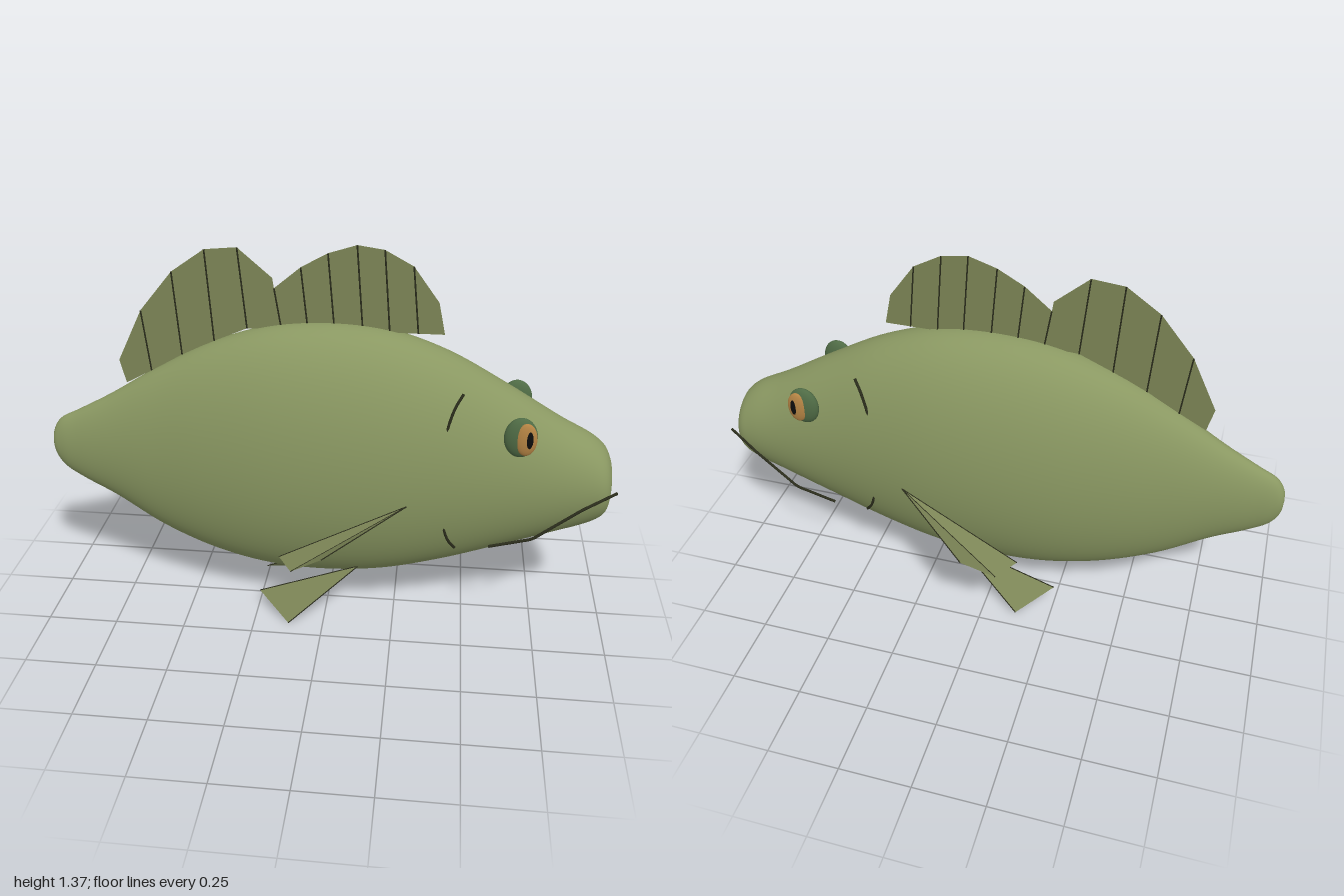
import * as THREE from 'three';

const mat = (color, side = THREE.FrontSide) => new THREE.MeshStandardMaterial({ color, side, roughness: 0.8 });
const bodyMat = mat(0x8a9862);
const finMat = mat(0x7c8556, THREE.DoubleSide);
const lineMat = mat(0x2b2d1c);
const V = (p) => new THREE.Vector3(...p);

function add(parent, name, geometry, material) {
  const mesh = new THREE.Mesh(geometry, material);
  mesh.name = name;
  parent.add(mesh);
  return mesh;
}

// Thin straight ray between two points
function ray(parent, name, a, b, r = 0.003) {
  return add(parent, name, new THREE.TubeGeometry(new THREE.LineCurve3(V(a), V(b)), 1, r, 5), lineMat);
}

// Body: oval cross-sections swept along x, each [x, top, bottom, half width]
function bodyGeometry() {
  const stations = [
    [-1, 0.61, 0.61, 0], [-0.994, 0.655, 0.56, 0.022], [-0.965, 0.7, 0.51, 0.036], [-0.9, 0.735, 0.465, 0.05],
    [-0.78, 0.8, 0.4, 0.075], [-0.6, 0.91, 0.285, 0.117], [-0.4, 1.015, 0.2, 0.165], [-0.2, 1.08, 0.155, 0.2],
    [0, 1.1, 0.146, 0.215], [0.2, 1.083, 0.165, 0.212], [0.4, 1.018, 0.215, 0.191], [0.6, 0.91, 0.283, 0.162],
    [0.8, 0.79, 0.357, 0.134], [0.91, 0.73, 0.4, 0.119], [0.955, 0.69, 0.428, 0.108], [0.975, 0.65, 0.455, 0.088],
    [0.983, 0.61, 0.51, 0.05], [0.985, 0.565, 0.565, 0],
  ];
  const heights = new THREE.CatmullRomCurve3(stations.map((s) => V([s[0], s[1], s[2]])));
  const widths = new THREE.CatmullRomCurve3(stations.map((s) => V([s[0], s[3], 0])));
  const rings = 102, sides = 64, pos = [], index = [];
  for (let i = 0; i <= rings; i++) {
    const h = heights.getPoint(i / rings), w = Math.max(0, widths.getPoint(i / rings).y);
    for (let j = 0; j < sides; j++) {
      const a = (j / sides) * Math.PI * 2;
      pos.push(h.x, (h.y + h.z) / 2 + ((h.y - h.z) / 2) * Math.cos(a), w * Math.sin(a));
      if (i === rings) continue;
      const k = (j + 1) % sides, p = i * sides, q = p + sides;
      if (i > 0) index.push(p + j, p + k, q + j);
      if (i < rings - 1) index.push(p + k, q + k, q + j);
    }
  }
  const g = new THREE.BufferGeometry();
  g.setAttribute('position', new THREE.Float32BufferAttribute(pos, 3));
  g.setIndex(index);
  g.computeVertexNormals();
  return g;
}

// Flat fin on the centre line, with rays given as [tip, base]
function dorsalFin(name, outline, rays) {
  const fin = new THREE.Group();
  fin.name = name;
  const shape = new THREE.Shape(outline.map((p) => new THREE.Vector2(...p)));
  add(fin, name + 'Web', new THREE.ShapeGeometry(shape), finMat);
  rays.forEach(([tip, base]) => ray(fin, name + 'Ray', [...tip, 0], [...base, 0]));
  return fin;
}

// Paired fin: a fan of triangles from its root, with a ray along each edge
function fanFin(name, root, tips) {
  const fin = new THREE.Group();
  fin.name = name;
  const pos = [];
  for (let i = 0; i < tips.length - 1; i++) pos.push(...root, ...tips[i], ...tips[i + 1]);
  const g = new THREE.BufferGeometry();
  g.setAttribute('position', new THREE.Float32BufferAttribute(pos, 3));
  g.computeVertexNormals();
  add(fin, name + 'Web', g, finMat);
  tips.forEach((t) => ray(fin, name + 'Ray', root, t, 0.002));
  return fin;
}

function ellipsoid(parent, name, center, size, material) {
  const mesh = add(parent, name, new THREE.SphereGeometry(1, 32, 20), material);
  mesh.position.set(...center);
  mesh.scale.set(...size);
}

// Everything paired, modelled at the given side (s = 1 or -1 along z)
function sideParts(s) {
  const side = new THREE.Group();
  side.name = s > 0 ? 'rightSide' : 'leftSide';
  const m = ([x, y, z]) => [x, y, z * s];

  const eye = new THREE.Group();
  eye.name = 'eye';
  ellipsoid(eye, 'eyeball', m([0.653, 0.787, 0.157]), [0.055, 0.071, 0.024], mat(0x4f6b45));
  ellipsoid(eye, 'iris', m([0.67, 0.787, 0.172]), [0.036, 0.058, 0.014], mat(0xb58444));
  ellipsoid(eye, 'pupil', m([0.68, 0.789, 0.18]), [0.013, 0.033, 0.008], mat(0x0c0c0c));
  side.add(eye);

  // Mouth line
  const mouth = new THREE.CurvePath();
  const pts = [[0.575, 0.367, 0.165], [0.72, 0.408, 0.168], [0.88, 0.522, 0.148], [0.997, 0.566, 0.098]].map((p) => V(m(p)));
  for (let i = 0; i < 3; i++) mouth.add(new THREE.LineCurve3(pts[i], pts[i + 1]));
  add(side, 'mouthLine', new THREE.TubeGeometry(new THREE.CatmullRomCurve3(mouth.getSpacedPoints(24)), 48, 0.005, 6), lineMat);

  // Gill cover edge, surfacing only at its upper and lower ends
  const gill = [[0.46, 0.925, 0.138], [0.43, 0.868, 0.157], [0.39, 0.63, 0.165], [0.43, 0.388, 0.157], [0.46, 0.338, 0.138]];
  add(side, 'gillEdge', new THREE.TubeGeometry(new THREE.CatmullRomCurve3(gill.map((p) => V(m(p)))), 32, 0.005, 6), lineMat);

  side.add(fanFin('pectoralFin', m([0.29, 0.53, 0.205]),
    [[0.02, 0.415, 0.388], [-0.09, 0.33, 0.34], [-0.143, 0.328, 0.25]].map(m)));
  side.add(fanFin('pelvicFin', m([0.12, 0.21, 0.1]),
    [[-0.125, 0.005, 0.19], [-0.245, 0.065, 0.082]].map(m)));
  return side;
}

export function createModel() {
  const fish = new THREE.Group();
  fish.name = 'fish';
  add(fish, 'body', bodyGeometry(), bodyMat);

  // Rear dorsal fin
  const rear = [[-0.73, 0.935], [-0.64, 1.12], [-0.525, 1.26], [-0.41, 1.34], [-0.3, 1.35], [-0.185, 1.25]];
  const rearBase = [[-0.71, 0.85], [-0.617, 0.9], [-0.505, 0.965], [-0.39, 1.02], [-0.275, 1.07], [-0.16, 1.075]];
  fish.add(dorsalFin('rearDorsalFin', [...rear, ...[...rearBase].reverse()],
    [1, 2, 3, 4].map((i) => [rear[i], rearBase[i]])));

  // Front dorsal fin
  const front = [[-0.18, 1.215], [-0.09, 1.29], [0, 1.34], [0.095, 1.37], [0.185, 1.357], [0.28, 1.305], [0.367, 1.185], [0.39, 1.075]];
  fish.add(dorsalFin('frontDorsalFin', [...front, [-0.16, 1.075]],
    front.slice(0, 6).map((p) => [p, [p[0] + 0.022, 1.075]])));

  fish.add(sideParts(1), sideParts(-1));
  return fish;
}
